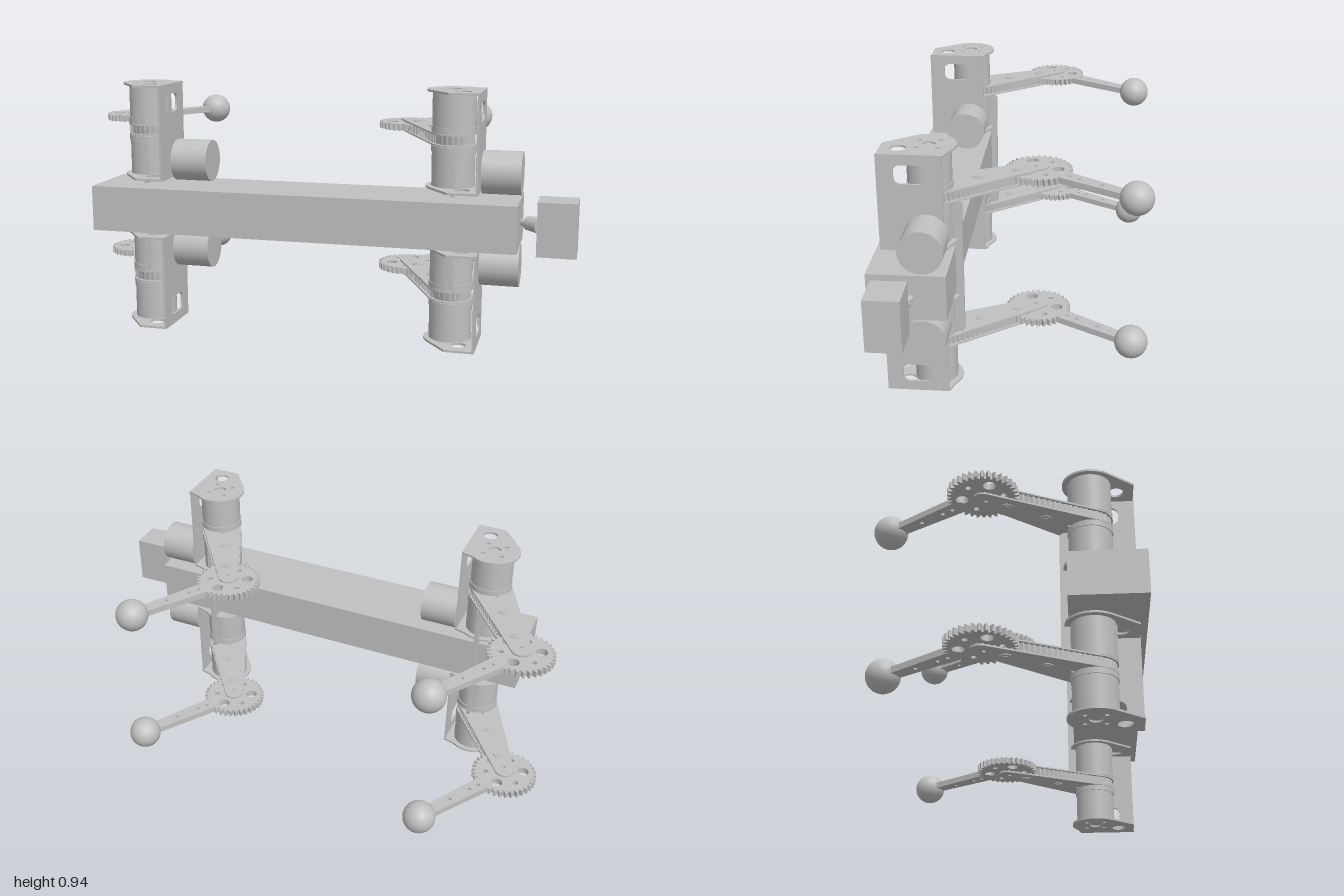
import * as THREE from 'three';

const grey = new THREE.MeshStandardMaterial({ color: 0xc0c0c0 });
grey.name = 'plain grey';

const HIP_Z = 0.297, MID_Y = 0.4725;
const KNEE = [-0.225, -0.37], FOOT = [0, -0.73];

function add(parent, name, geo, x = 0, y = 0, z = 0) {
  const m = new THREE.Mesh(geo, grey);
  m.name = name;
  m.position.set(x, y, z);
  parent.add(m);
  return m;
}

// Flat plate drawn in (x, z), centred on its thickness in y
function slab(shape, t) {
  const g = new THREE.ExtrudeGeometry(shape, { depth: t, bevelEnabled: false, curveSegments: 24 });
  return g.translate(0, 0, -t / 2).rotateX(Math.PI / 2);
}

// Upright plate drawn in (z, y), centred on its thickness in x
function wall(shape, t) {
  const g = new THREE.ExtrudeGeometry(shape, { depth: t, bevelEnabled: false, curveSegments: 12 });
  return g.translate(0, 0, -t / 2).rotateY(-Math.PI / 2);
}

function hole(shape, x, y, r) {
  shape.holes.push(new THREE.Path().absarc(x, y, r, 0, Math.PI * 2, true));
}

function roundRect(path, x0, y0, x1, y1, r) {
  const h = Math.PI / 2;
  path.moveTo(x0 + r, y0);
  path.absarc(x1 - r, y0 + r, r, -h, 0, false);
  path.absarc(x1 - r, y1 - r, r, 0, h, false);
  path.absarc(x0 + r, y1 - r, r, h, 2 * h, false);
  path.absarc(x0 + r, y0 + r, r, 2 * h, 3 * h, false);
  return path;
}

// Tapered link: two circles joined by their tangents
function link([ax, ay], ra, [bx, by], rb) {
  const f = Math.atan2(by - ay, bx - ax);
  const a = Math.acos((ra - rb) / Math.hypot(bx - ax, by - ay));
  const s = new THREE.Shape();
  s.absarc(ax, ay, ra, f + a, f - a + Math.PI * 2, false);
  s.absarc(bx, by, rb, f - a, f + a, false);
  s.closePath();
  return s;
}

// Motor mount end plate
function endPlate() {
  const s = new THREE.Shape();
  s.moveTo(0.11, -0.065);
  s.lineTo(0.11, 0.165);
  s.lineTo(0, 0.165);
  s.lineTo(-0.085, 0.055);
  s.absarc(0, 0, 0.1, 2.57, 5.36, false);
  s.closePath();
  hole(s, 0, 0, 0.025);
  hole(s, 0.045, 0.1, 0.028);
  for (const x of [-0.037, 0.037]) for (const z of [-0.037, 0.037]) hole(s, x, z, 0.008);
  return slab(s, 0.008);
}

// Side wall with a rounded window in its outer half
function sideWall(s) {
  const w = new THREE.Shape([[-0.062, -0.18], [0.168, -0.18], [0.168, 0.18], [-0.062, 0.18]].map(p => new THREE.Vector2(...p)));
  const y = 0.107 * s;
  w.holes.push(roundRect(new THREE.Path(), -0.002, y - 0.035, 0.108, y + 0.035, 0.025));
  return wall(w, 0.008);
}

function armPlate() {
  const s = link([0, 0], 0.083, KNEE, 0.038);
  for (const t of [0.2, 0.8, 0.97]) hole(s, KNEE[0] * t, KNEE[1] * t, 0.007);
  return slab(s, 0.006);
}

// Ribbed core between the arm plates
function ribbedCore() {
  const outer = link([0, 0], 0.078, KNEE, 0.035).getSpacedPoints(240);
  const inner = link([0, 0], 0.068, KNEE, 0.025).getSpacedPoints(240);
  const pts = outer.slice(0, 240).map((p, i) => (i % 4 < 2 ? p : inner[i]));
  return slab(new THREE.Shape(pts), 0.032);
}

function kneeGear() {
  const pts = [], teeth = 34;
  for (let i = 0; i < teeth; i++) {
    [[0, 0.111], [0.3, 0.111], [0.5, 0.125], [0.8, 0.125]].forEach(([o, r]) => {
      const a = (i + o) / teeth * Math.PI * 2;
      pts.push(new THREE.Vector2(Math.cos(a) * r, Math.sin(a) * r));
    });
  }
  const s = new THREE.Shape(pts);
  for (let i = 0; i < 6; i++) {
    const a = 0.65 + i * Math.PI / 3;
    hole(s, Math.cos(a) * 0.074, Math.sin(a) * 0.074, i % 2 ? 0.01 : 0.022);
  }
  return slab(s, 0.025);
}

function shin() {
  const d = [FOOT[0] - KNEE[0], FOOT[1] - KNEE[1]];
  const at = t => [KNEE[0] + d[0] * t, KNEE[1] + d[1] * t];
  const s = link(at(0.25), 0.032, at(1), 0.022);
  for (const t of [0.32, 0.42, 0.65]) hole(s, ...at(t), 0.007);
  return slab(s, 0.024);
}

// One leg; s = 1 for the upper side, -1 for the lower side
function leg(x, s) {
  const g = new THREE.Group();
  g.name = s > 0 ? 'upperLeg' : 'lowerLeg';
  g.position.set(x, MID_Y + 0.2905 * s, HIP_Z);

  // motor bracket
  for (const e of [-1, 1]) add(g, 'bracketEndPlate', endPlate(), 0, 0.177 * e, 0);
  add(g, 'bracketSideWall', sideWall(s), 0.106, 0, 0);

  // hip motors on both sides of the arm, and the sideways motor
  for (const e of [-1, 1]) {
    add(g, 'hipMotor', new THREE.CylinderGeometry(0.08, 0.08, 0.15, 48), 0, 0.099 * e, 0);
    add(g, 'hipFlange', new THREE.CylinderGeometry(0.083, 0.083, 0.022, 48), 0, 0.035 * e, 0);
  }
  const motor = new THREE.CylinderGeometry(0.08, 0.08, 0.143, 48).rotateZ(Math.PI / 2);
  add(g, 'sideMotor', motor, 0.181, -0.119 * s, 0);

  // upper arm
  for (const e of [-1, 1]) add(g, 'armPlate', armPlate(), 0, 0.02 * e, 0);
  add(g, 'armRibbedCore', ribbedCore());
  for (const t of [0.43, 0.79]) {
    add(g, 'armBolt', new THREE.CylinderGeometry(0.021, 0.021, 0.052, 24), KNEE[0] * t, 0, KNEE[1] * t);
    add(g, 'armBoltPin', new THREE.CylinderGeometry(0.01, 0.01, 0.056, 16), KNEE[0] * t, 0, KNEE[1] * t);
  }

  // knee, shin and foot
  add(g, 'kneeGear', kneeGear(), KNEE[0], 0, KNEE[1]);
  add(g, 'shin', shin());
  add(g, 'footBall', new THREE.SphereGeometry(0.062, 40, 24), FOOT[0], 0, FOOT[1]);
  return g;
}

function rod(parent, name, r0, r1, a, b) {
  const dir = b.clone().sub(a);
  const m = add(parent, name, new THREE.CylinderGeometry(r1, r0, dir.length(), 24));
  m.position.copy(a).addScaledVector(dir, 0.5);
  m.quaternion.setFromUnitVectors(new THREE.Vector3(0, 1, 0), dir.normalize());
}

export function createModel() {
  const model = new THREE.Group();
  model.name = 'walkingRobot';

  add(model, 'body', new THREE.BoxGeometry(1.61, 0.172, 0.28), -0.015, MID_Y, 0.351);

  // head and neck
  add(model, 'head', new THREE.BoxGeometry(0.14, 0.196, 0.127), 0.925, MID_Y, 0.394);
  const p = (x, z) => new THREE.Vector3(x, MID_Y, z);
  rod(model, 'neckPin', 0.012, 0.012, p(0.79, 0.335), p(0.83, 0.36));
  rod(model, 'neckJoint', 0.025, 0.03, p(0.815, 0.348), p(0.862, 0.382));

  // legs in pairs, each pair tied by a slim upright plate
  for (const x of [-0.653, 0.537]) {
    for (const s of [1, -1]) model.add(leg(x, s));
    const tie = roundRect(new THREE.Shape(), 0.184, MID_Y - 0.267, 0.38, MID_Y + 0.267, 0.02);
    add(model, 'legTiePlate', wall(tie, 0.014), x + 0.008, 0, 0);
  }
  return model;
}
